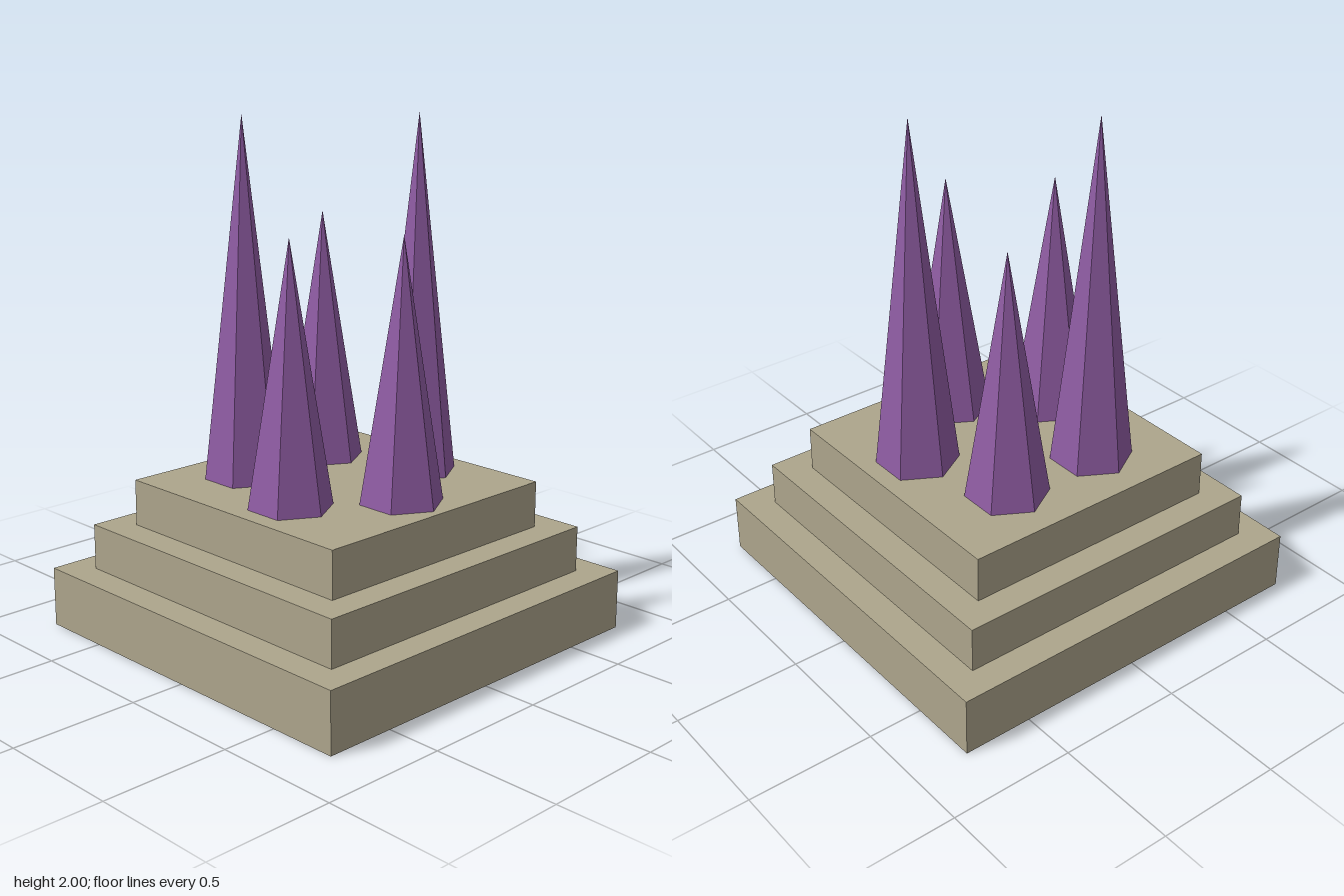
import * as THREE from 'three';

export function createModel() {
  const model = new THREE.Group();
  const stone = new THREE.MeshStandardMaterial({ color: 0xada58c });
  const crystal = new THREE.MeshStandardMaterial({ color: 0x8f5ca3, flatShading: true });

  // Stepped square plinth: [name, width, bottom, top]
  const steps = [
    ['lowerStep', 1.564, 0, 0.236],
    ['middleStep', 1.33, 0.236, 0.417],
    ['upperStep', 1.095, 0.417, 0.6],
  ];
  for (const [name, width, bottom, top] of steps) {
    const step = new THREE.Mesh(new THREE.BoxGeometry(width, top - bottom, width), stone);
    step.name = name;
    step.position.y = (bottom + top) / 2;
    model.add(step);
  }

  // Ring of five six-sided crystal spires, corners pointing along x
  const ring = new THREE.Group();
  ring.name = 'crystalSpires';
  const heights = [1, 1, 1.4, 1, 1.4];
  heights.forEach((height, i) => {
    const angle = (i / heights.length) * Math.PI * 2;
    const geometry = new THREE.ConeGeometry(0.162, height, 6).rotateY(Math.PI / 6);
    const spire = new THREE.Mesh(geometry, crystal);
    spire.name = `crystalSpire${i + 1}`;
    spire.position.set(Math.cos(angle) * 0.352, 0.6 + height / 2, Math.sin(angle) * 0.352);
    ring.add(spire);
  });
  model.add(ring);

  return model;
}
